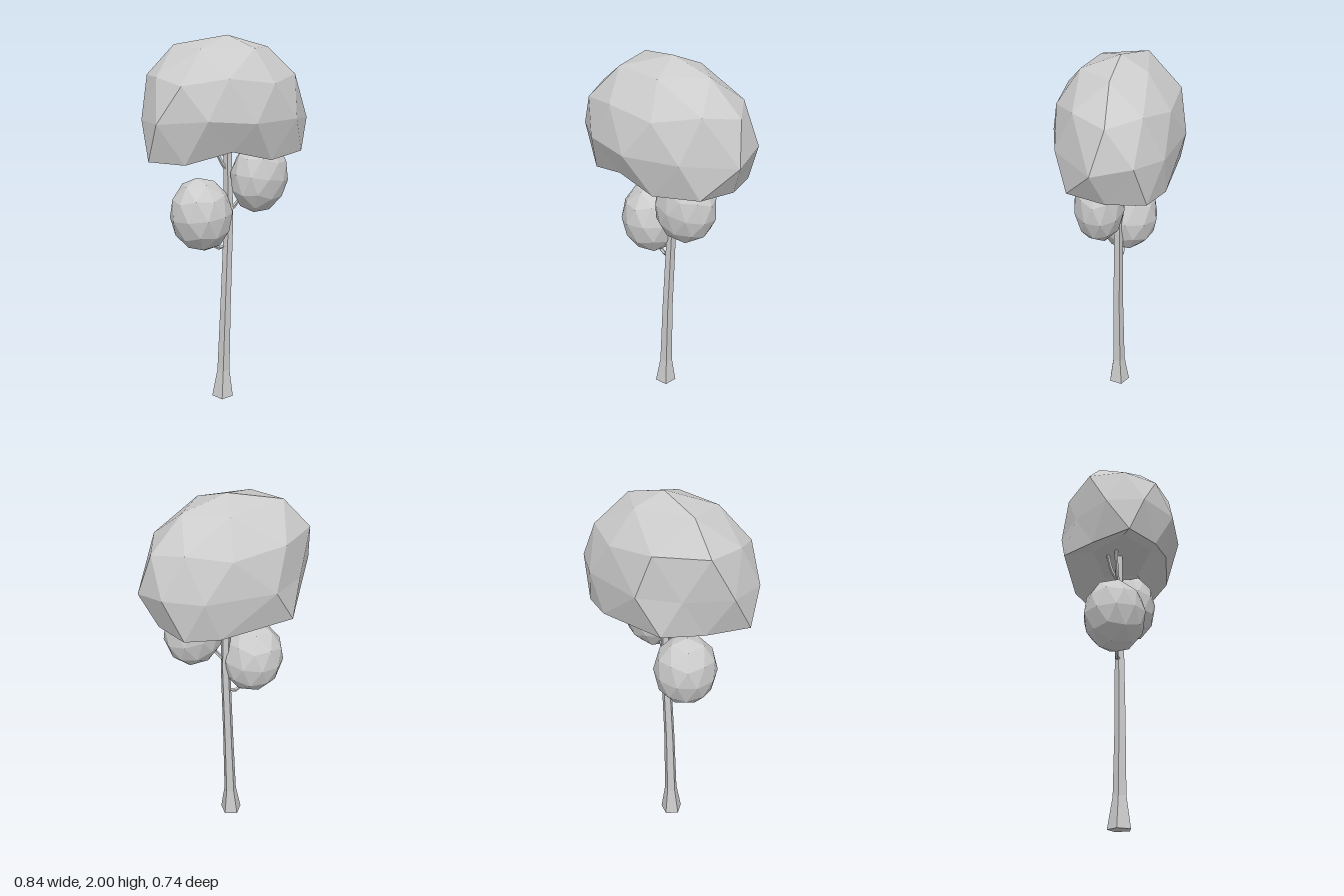
import * as THREE from 'three';

const material = new THREE.MeshStandardMaterial({ color: 0xcccccc, flatShading: true });
const v = (x, y, z) => new THREE.Vector3(x, y, z);

function addPart(group, name, geometry) {
  geometry.computeVertexNormals();
  const mesh = new THREE.Mesh(geometry, material);
  mesh.name = name;
  group.add(mesh);
}

// Faceted ball with a vertex at its pole, turned by `spin` about the vertical
function facetedBall(spin) {
  return new THREE.IcosahedronGeometry(1, 1)
    .rotateZ(-Math.atan(2 / (1 + Math.sqrt(5))))
    .rotateY(spin);
}

// Move every vertex by a rule
function deform(geometry, rule) {
  const pos = geometry.attributes.position;
  const p = new THREE.Vector3();
  for (let i = 0; i < pos.count; i++) {
    rule(p.fromBufferAttribute(pos, i));
    pos.setXYZ(i, p.x, p.y, p.z);
  }
  return geometry;
}

// Pull the corner nearest to `target` onto it
function pullCorner(geometry, target) {
  let nearest = Infinity;
  deform(geometry, (p) => { nearest = Math.min(nearest, p.distanceTo(target)); });
  deform(geometry, (p) => { if (p.distanceTo(target) < nearest + 1e-4) p.copy(target); });
}

export function createModel() {
  const tree = new THREE.Group();
  tree.name = 'tree';

  // Trunk: five-sided, flared at the foot, gently bent; rows are [y, x, z, radius]
  const rows = [
    [0, -0.025, 0.002, 0.062],
    [0.16, -0.02, 0, 0.036],
    [0.55, -0.008, -0.005, 0.03],
    [1.05, 0.008, -0.021, 0.026],
    [1.54, 0, -0.022, 0.023],
  ];
  const trunk = deform(new THREE.CylinderGeometry(1, 1, rows.length - 1, 5, rows.length - 1), (p) => {
    const [y, x, z, r] = rows[Math.round(p.y + (rows.length - 1) / 2)];
    p.set(x + p.x * r, y, z + p.z * r);
  });
  addPart(tree, 'trunk', trunk);

  // Crown: an oval dome set diagonally, its underside pushed up into a hollow
  const crown = deform(facetedBall(-0.105), (p) => {
    if (p.y < -0.95) p.y = -0.175;
    else if (p.y < -0.7) p.y = -0.21;
    else if (p.y < -0.5) p.y = -0.49;
  });
  crown.scale(0.465, 0.4, 0.32).rotateY(0.66).translate(0, 1.6, 0);
  // Uneven growth: single corners of the dome and rim pulled out of the regular oval
  const corners = [
    v(0, 2, -0.03), v(-0.265, 1.955, 0.015), // top and left shoulder
    v(-0.27, 1.81, -0.19), v(-0.4, 1.81, 0.04), // upper left
    v(0.42, 1.57, -0.2), v(0.295, 1.61, -0.355), v(-0.23, 1.6, -0.26), v(-0.07, 1.62, 0.365), // waist
    v(-0.32, 1.42, -0.17), v(-0.37, 1.41, 0.27), v(-0.36, 1.41, 0.04), // rim, left
    v(0.2, 1.4, -0.36), v(0.03, 1.4, -0.34), v(0.385, 1.42, -0.02), // rim, back and right
    v(0.04, 1.46, 0.26), // notch in the front rim
  ];
  for (const corner of corners) pullCorner(crown, corner);
  addPart(tree, 'crown', crown);

  // Two smaller leaf clumps either side of the trunk
  addPart(tree, 'lowerClump',
    facetedBall(0.3).scale(0.168, 0.2, 0.168).rotateZ(0.1).translate(-0.135, 1.083, 0.035));
  addPart(tree, 'upperClump',
    facetedBall(-0.2).scale(0.168, 0.195, 0.13).rotateZ(-0.18).rotateY(0.66).translate(0.17, 1.278, -0.035));

  // Thin branches from the trunk into the foliage
  const branches = [
    [v(0.005, 0.92, -0.015), v(-0.03, 0.885, -0.01), v(-0.065, 0.895, 0.005), v(-0.09, 0.96, 0.025)],
    [v(0.008, 1.09, -0.02), v(0.04, 1.12, -0.025), v(0.08, 1.18, -0.03), v(0.12, 1.24, -0.035)],
    [v(0.005, 1.3, -0.02), v(-0.025, 1.35, -0.01), v(-0.055, 1.42, 0), v(-0.08, 1.54, 0.01)],
    [v(0.005, 1.36, -0.02), v(-0.015, 1.39, -0.03), v(-0.035, 1.43, -0.045), v(-0.06, 1.54, -0.06)],
  ];
  for (const points of branches) {
    addPart(tree, 'branch', new THREE.TubeGeometry(new THREE.CatmullRomCurve3(points), 5, 0.01, 5));
  }

  return tree;
}
